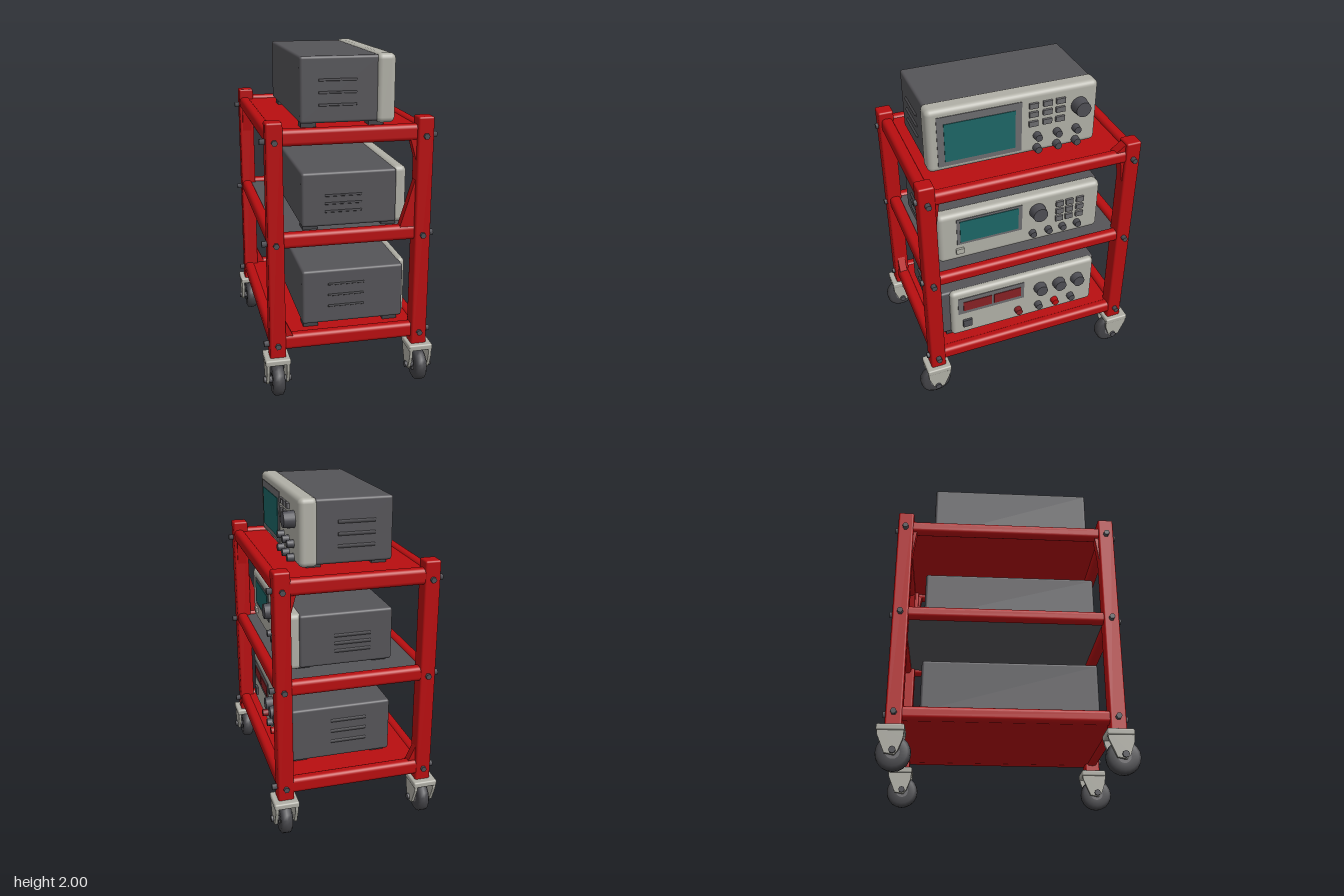
import * as THREE from 'three';
import { RoundedBoxGeometry } from 'three/addons/geometries/RoundedBoxGeometry.js';

const mat = (name, color) => {
  const m = new THREE.MeshStandardMaterial({ color });
  m.name = name;
  return m;
};

export function createModel() {
  const red = mat('red paint', 0xb80e10);
  const grey = mat('dark grey casing', 0x555458);
  const pale = mat('pale bezel', 0xb0afa6);
  const teal = mat('teal screen', 0x1c6565);
  const ruby = mat('ruby display', 0x862024);
  const dark = mat('rubber', 0x434347);
  const knobGrey = mat('knob grey', 0x4e4e54);
  const frameGrey = mat('screen surround', 0x6c6b6e);

  const root = new THREE.Group();
  root.name = 'instrumentTrolley';

  const add = (parent, name, geo, material, x = 0, y = 0, z = 0) => {
    const m = new THREE.Mesh(geo, material);
    m.name = name;
    m.position.set(x, y, z);
    parent.add(m);
    return m;
  };
  // Box given by its limits, with optional rounded edges
  const box = (parent, name, material, [x0, x1], [y0, y1], [z0, z1], r = 0) => {
    const s = [x1 - x0, y1 - y0, z1 - z0];
    const g = r ? new RoundedBoxGeometry(...s, 3, r) : new THREE.BoxGeometry(...s);
    return add(parent, name, g, material, (x0 + x1) / 2, (y0 + y1) / 2, (z0 + z1) / 2);
  };
  // Prism whose outline is in (z, y), centred on x
  const prismZY = (points, width) => {
    const s = new THREE.Shape(points.map(p => new THREE.Vector2(...p)));
    const g = new THREE.ExtrudeGeometry(s, { depth: width, bevelEnabled: false });
    return g.translate(0, 0, -width / 2).rotateY(-Math.PI / 2);
  };
  const prismXY = (points, width) => {
    const s = new THREE.Shape(points.map(p => new THREE.Vector2(...p)));
    return new THREE.ExtrudeGeometry(s, { depth: width, bevelEnabled: false }).translate(0, 0, -width / 2);
  };
  // Round part along x
  const disc = (r, len, sides, rTop = r) => new THREE.CylinderGeometry(rTop, r, len, sides).rotateZ(-Math.PI / 2);

  // Frame: posts, rails, shelves and bolts
  const frame = new THREE.Group();
  frame.name = 'frame';
  root.add(frame);
  const postX = 0.435, postZ = [0.618, -0.645];
  const levels = [[0.285, 0.38], [0.92, 1.01], [1.515, 1.61]];
  for (const sx of [-1, 1]) {
    postZ.forEach((z, i) => {
      const sz = i ? -1 : 1;
      box(frame, 'post', red, [sx * postX - 0.048, sx * postX + 0.048], [0.24, 1.655], [z - 0.048, z + 0.048], 0.012);
      for (const y of [0.325, 0.952, 1.545]) {
        add(frame, 'sideBolt', disc(0.018, 0.035, 6), knobGrey, sx * 0.495, y, z);
        add(frame, 'endBolt', disc(0.018, 0.03, 6).rotateY(Math.PI / 2), knobGrey, sx * postX, y, z + sz * 0.05);
      }
      // Corner gussets below the top side rails
      const e = z - sz * 0.046;
      const g = [[e, 1.53], [e - sz * 0.025, 1.53], [e, 1.35]];
      add(frame, 'sideGusset', prismZY(i ? g : g.reverse(), 0.06), red, sx * postX);
    });
  }
  levels.forEach(([y0, y1]) => {
    for (const sx of [-1, 1])
      box(frame, 'sideRail', red, [sx * 0.445 - 0.033, sx * 0.445 + 0.033], [y0 + 0.005, y1 - 0.01], [-0.64, 0.61], 0.025);
    for (const z of [0.615, -0.655])
      box(frame, 'endRail', red, [-0.43, 0.43], [y0, y1], [z - 0.035, z + 0.035], 0.025);
  });
  box(frame, 'bottomShelf', red, [-0.44, 0.44], [0.295, 0.36], [-0.65, 0.61]);
  box(frame, 'middleShelf', grey, [-0.42, 0.42], [0.955, 0.985], [-0.63, 0.59]);
  box(frame, 'topShelf', red, [-0.44, 0.44], [1.555, 1.588], [-0.65, 0.61]);
  // Gussets in the end frames
  for (const z of postZ) {
    add(frame, 'upperGusset', prismXY([[0.395, 1.37], [0.395, 1.53], [0.35, 1.53]], 0.05), red, 0, 0, z);
    add(frame, 'lowerGusset', prismXY([[-0.395, 0.36], [-0.335, 0.36], [-0.395, 0.49]], 0.05), red, 0, 0, z);
  }
  add(frame, 'middleGusset', prismXY([[0.30, 1.0], [0.40, 1.0], [0.40, 1.3], [0.385, 1.28]], 0.05), red, 0, 0, postZ[0]);
  add(frame, 'rearGusset', prismZY([[-0.60, 1.58], [-0.53, 1.59], [-0.60, 1.645]], 0.06), red, postX);

  // Casters
  const fork = [[-0.095, 0.24], [-0.09, 0.19], [-0.045, 0.085], [0.01, 0.075], [0.03, 0.10], [0.055, 0.17], [0.06, 0.24]];
  for (const sx of [-1, 1]) for (const z of [0.64, -0.638]) {
    const c = new THREE.Group();
    c.name = 'caster';
    c.position.set(sx * 0.44, 0, z);
    root.add(c);
    const tyre = [[0.04, -0.036], [0.08, -0.036], [0.097, -0.025], [0.1, 0], [0.097, 0.025], [0.08, 0.036], [0.04, 0.036]];
    add(c, 'wheel', new THREE.LatheGeometry(tyre.map(p => new THREE.Vector2(...p)), 20).rotateZ(Math.PI / 2), dark, 0, 0.1, 0);
    add(c, 'hub', disc(0.042, 0.066, 14), frameGrey, 0, 0.1, 0);
    add(c, 'axle', disc(0.02, 0.165, 8), knobGrey, 0, 0.1, 0);
    box(c, 'casterPlate', pale, [-0.075, 0.075], [0.212, 0.25], [-0.097, 0.06], 0.01);
    for (const s of [-1, 1]) add(c, 'forkSide', prismZY(fork, 0.018), pale, s * 0.06);
  }

  // Instruments: casing, bezel, feet and side vents
  const instrument = (name, { x1, split, y, z, bz, vent }) => {
    const g = new THREE.Group();
    g.name = name;
    root.add(g);
    box(g, 'casing', grey, [-0.268, split + 0.02], [y[0] + 0.012, y[1] - 0.008], z, 0.016);
    box(g, 'bezel', pale, [split, x1], y, bz, 0.032);
    for (const fx of [-0.21, x1 - 0.1]) for (const fz of [z[0] + 0.11, z[1] - 0.09])
      box(g, 'foot', dark, [fx - 0.045, fx + 0.045], [y[0] - 0.025, y[0] + 0.02], [fz - 0.045, fz + 0.045]);
    for (const fz of z) for (let i = -1; i <= 1; i++)
      add(g, 'ventRib', new THREE.CylinderGeometry(0.012, 0.012, 0.22, 3).rotateZ(Math.PI / 2),
        grey, vent[0], vent[1] + i * vent[2], fz);
    // Helpers that place details on the front panel
    return {
      plate: (n, m, zr, yr, lift = 0.004) => box(g, n, m, [x1 - 0.004, x1 + lift], yr, zr),
      knob: (n, m, kz, ky, r, len) => add(g, n, disc(r, len, r > 0.035 ? 16 : 10, r * 0.88), m, x1 + len / 2 - 0.004, ky, kz),
      button: (m, kz, ky, w, h) => box(g, 'button', m, [x1 - 0.005, x1 + 0.015], [ky - h / 2, ky + h / 2], [kz - w / 2, kz + w / 2])
    };
  };

  // Top instrument with the large screen
  const top = instrument('topInstrument', {
    x1: 0.288, split: 0.175, y: [1.605, 2.0], z: [-0.475, 0.535], bz: [-0.483, 0.548], vent: [-0.05, 1.79, 0.07] });
  top.plate('screenSurround', frameGrey, [-0.01, 0.49], [1.64, 1.955]);
  top.plate('screen', teal, [0.03, 0.45], [1.67, 1.91], 0.008);
  for (const z of [-0.08, -0.165, -0.245]) for (const y of [1.92, 1.865, 1.805]) top.button(frameGrey, z, y, 0.055, 0.032);
  for (const z of [-0.105, -0.23, -0.35]) for (const y of [1.72, 1.64]) top.knob('smallKnob', knobGrey, z, y, 0.025, 0.045);
  top.knob('largeKnob', knobGrey, -0.365, 1.865, 0.052, 0.07);

  // Middle instrument
  const mid = instrument('middleInstrument', {
    x1: 0.368, split: 0.28, y: [1.0, 1.345], z: [-0.515, 0.56], bz: [-0.508, 0.54], vent: [-0.02, 1.15, 0.048] });
  mid.plate('screenSurround', frameGrey, [0.01, 0.425], [1.12, 1.305]);
  mid.plate('screen', teal, [0.035, 0.405], [1.138, 1.29], 0.008);
  mid.knob('largeKnob', knobGrey, -0.09, 1.235, 0.053, 0.06);
  for (const z of [-0.235, -0.3, -0.37]) for (const y of [1.255, 1.2, 1.145]) mid.button(frameGrey, z, y, 0.048, 0.035);
  for (const z of [-0.06, -0.165, -0.26, -0.36]) mid.knob('smallKnob', knobGrey, z, 1.075, 0.024, 0.035);
  mid.button(pale, 0.41, 1.075, 0.05, 0.035);

  // Bottom instrument with twin displays
  const low = instrument('bottomInstrument', {
    x1: 0.39, split: 0.335, y: [0.385, 0.745], z: [-0.515, 0.56], bz: [-0.5, 0.49], vent: [0, 0.575, 0.07] });
  low.plate('displaySurround', frameGrey, [-0.005, 0.445], [0.565, 0.695]);
  low.plate('leftDisplay', ruby, [0.22, 0.41], [0.59, 0.663], 0.008);
  low.plate('rightDisplay', ruby, [0.02, 0.203], [0.59, 0.663], 0.008);
  for (const z of [-0.117, -0.25, -0.38]) low.knob('dial', knobGrey, z, 0.615, 0.044, 0.05);
  [[0.037, ruby], [-0.106, knobGrey], [-0.223, red], [-0.34, knobGrey]]
    .forEach(([z, m]) => low.knob('terminal', m, z, 0.47, 0.026, 0.04));
  low.button(knobGrey, 0.387, 0.48, 0.06, 0.055);

  return root;
}
